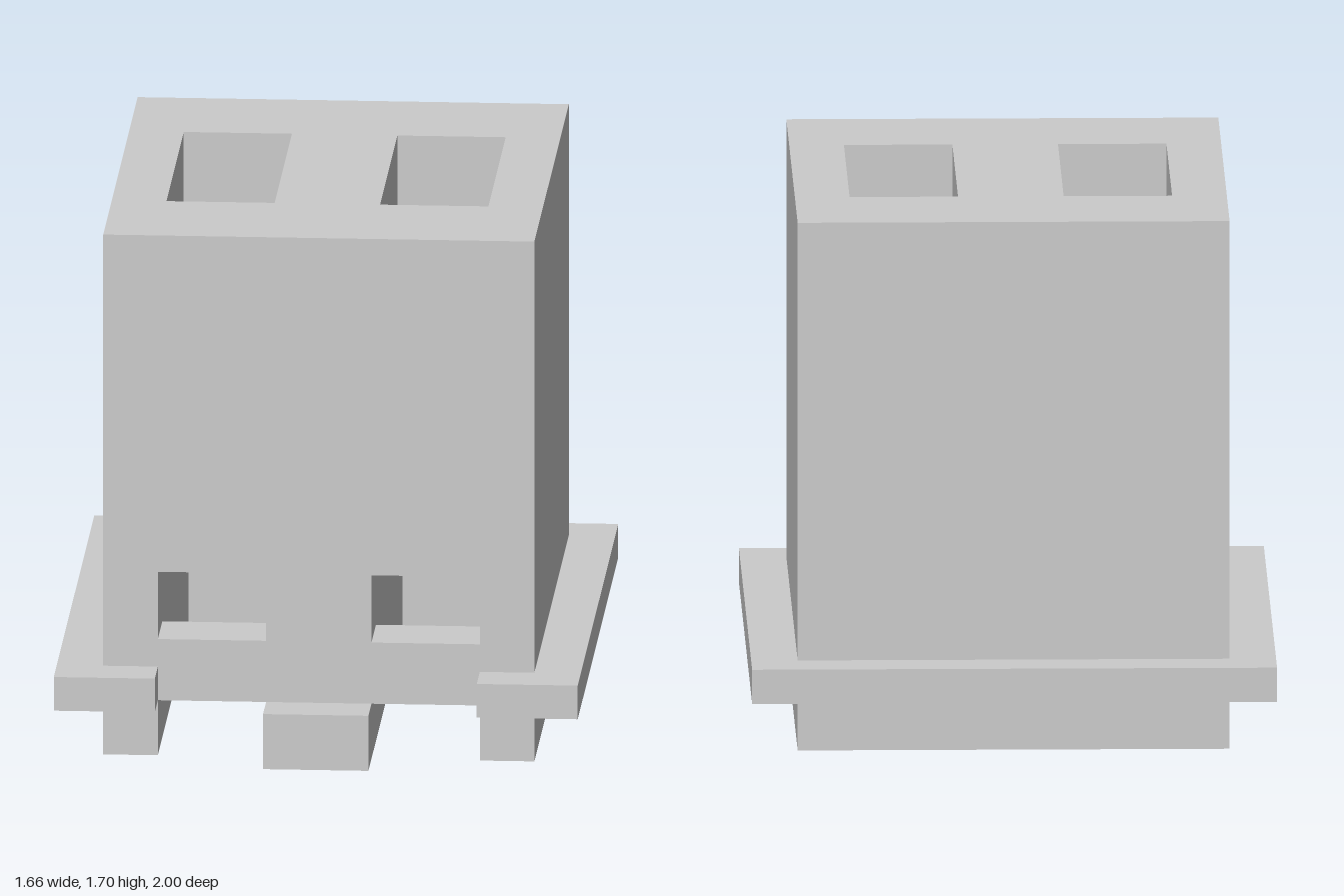
import * as THREE from 'three';

const material = new THREE.MeshStandardMaterial({ color: 0xcccccc, flatShading: true });

// Main plan dimensions
const W = 0.683, D = 0.85;                      // body half width and half depth
const IN = 0.167, OUT = 0.51;                   // slot sides
const SLOT_BACK = -0.43, SLOT_FRONT = 0.425;    // ends of the slots in the top
const CAVITY_BACK = -0.67, CAVITY_FRONT = 0.63; // ends of the longer cavities below
const FLANGE_W = 0.83, FLANGE_D = 1;

// Plan points, wound so that outlines and holes run in opposite directions
function toPlan(points, clockwise) {
  const plan = points.map(([x, z]) => new THREE.Vector2(x, -z));
  return THREE.ShapeUtils.isClockWise(plan) === clockwise ? plan : plan.reverse();
}

// Upright slab: an [x, z] outline with holes, extruded from y0 to y1
function slab(name, outline, y0, y1, holes = []) {
  const shape = new THREE.Shape(toPlan(outline, false));
  for (const hole of holes) shape.holes.push(new THREE.Path(toPlan(hole, true)));
  const geometry = new THREE.ExtrudeGeometry(shape, { depth: y1 - y0, bevelEnabled: false });
  geometry.rotateX(-Math.PI / 2).translate(0, y0, 0);
  const mesh = new THREE.Mesh(geometry, material);
  mesh.name = name;
  return mesh;
}

// Plan with two channels open to the front; the middle tooth ends at midFront
const comb = (midFront) => [
  [-W, -D], [W, -D], [W, D], [OUT, D], [OUT, CAVITY_BACK], [IN, CAVITY_BACK], [IN, midFront],
  [-IN, midFront], [-IN, CAVITY_BACK], [-OUT, CAVITY_BACK], [-OUT, D], [-W, D],
];

// Mirrored pair of rectangular holes between two depths
const holePair = (back, front) => [-1, 1].map((s) => [
  [s * IN, back], [s * OUT, back], [s * OUT, front], [s * IN, front],
]);

export function createModel() {
  const model = new THREE.Group();
  model.name = 'slottedHousing';

  const block = [[-W, -D], [W, -D], [W, D], [-W, D]];

  // Body, bottom to top: open channels, sill, front windows, tall slotted block
  model.add(slab('baseChannels', comb(FLANGE_D), 0, 0.18));
  model.add(slab('windowSill', block, 0.18, 0.38, holePair(CAVITY_BACK, CAVITY_FRONT)));
  model.add(slab('windowBand', comb(D), 0.38, 0.6));
  model.add(slab('upperBody', block, 0.6, 1.7, holePair(SLOT_BACK, SLOT_FRONT)));

  // Flange wrapping the sides and back, with two arms reaching past the front
  model.add(slab('flange', [
    [-FLANGE_W, -FLANGE_D], [FLANGE_W, -FLANGE_D], [FLANGE_W, FLANGE_D], [OUT, FLANGE_D],
    [OUT, D], [W, D], [W, -D], [-W, -D], [-W, D], [-OUT, D],
    [-OUT, FLANGE_D], [-FLANGE_W, FLANGE_D],
  ], 0.18, 0.29));

  return model;
}
